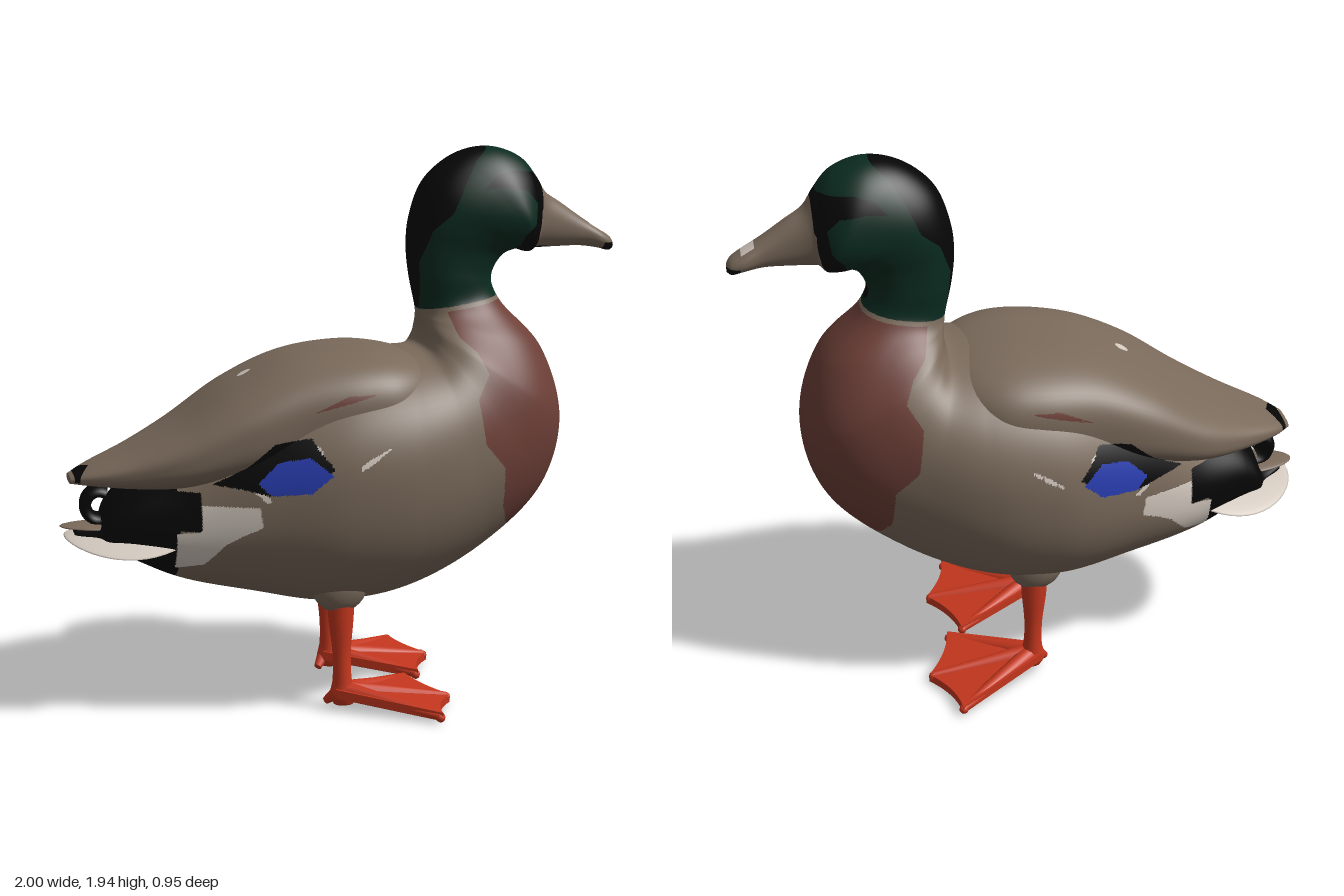
import * as THREE from 'three';

const mat = (name, color) => Object.assign(new THREE.MeshStandardMaterial({ color }), { name });
const BROWN = 0, MAROON = 1, GREEN = 2, BLACK = 3, WHITE = 4, BLUE = 5;

// Plumage patches drawn in the side plane (x, y)
const patch = {
  nape: [[.1, 1.36], [.275, 1.385], [.262, 1.55], [.3, 1.66], [.365, 1.72], [.41, 1.82], [.46, 1.9], [.55, 1.97], [.3, 2.05], [.1, 1.8]],
  face: [[.47, 1.8], [.52, 1.85], [.58, 1.865], [.68, 1.855], [.76, 1.83], [.75, 1.6], [.68, 1.55], [.61, 1.59], [.62, 1.64], [.66, 1.68], [.672, 1.75], [.63, 1.795], [.54, 1.81]],
  bill: [[.715, 1.83], [.71, 1.73], [.67, 1.66], [.665, 1.55], [1.1, 1.5], [1.1, 1.83]],
  breast: [[.35, 1.38], [.37, 1.3], [.42, 1.25], [.45, 1.18], [.4, 1.1], [.42, .95], [.5, .86], [.51, .72], [.545, .64], [.6, .6], [.9, .61], [.9, 1.5], [.5, 1.44]],
  speculum: [[-.37, .85], [-.3, .92], [-.2, .94], [-.13, .88], [-.2, .82], [-.33, .81]],
  wingBar: [[-.51, .84], [-.4, .9], [-.31, .98], [-.19, 1.0], [-.17, .96], [-.12, .9], [-.2, .85], [-.33, .81], [-.42, .83]],
  flank: [[-.63, .54], [-.54, .56], [-.47, .64], [-.42, .67], [-.355, .7], [-.365, .77], [-.55, .77], [-.55, .68], [-.63, .67]],
  streak: [[-.18, 1.08], [-.06, 1.135], [.05, 1.14], [-.06, 1.11]],
  fleck: [[-.1, .86], [-.01, .93], [.08, .975], [.0, .915]],
  edge: [[-.43, .86], [-.41, .86], [-.32, .79], [-.34, .785]],
};
function inside(poly, x, y) {
  let hit = false;
  for (let i = 0, j = poly.length - 1; i < poly.length; j = i++) {
    const [ax, ay] = poly[i], [bx, by] = poly[j];
    if (ay > y !== by > y && x < (bx - ax) * (y - ay) / (by - ay) + ax) hit = !hit;
  }
  return hit;
}

// Colour of the plumage at a point
function plumage(x, y, z) {
  const at = (key) => inside(patch[key], x, y);
  if (y > 1.365 + (x - .27) * .17) {
    if (at('bill')) {
      if (x > .955 && y < 1.6 || x < .75 && y < 1.593 || Math.abs(z) > .1) return BLACK;
      return x > .905 && x < .95 && Math.abs(z) < .035 && y > 1.63 ? WHITE : BROWN;
    }
    if (at('nape') || at('face')) return BLACK;
    if (x > .45 && Math.hypot(y - 1.48, z) < .037) return BLACK;
    return y > 1.38 + (x - .27) * .17 ? GREEN : BROWN;
  }
  if (at('breast')) return MAROON;
  if (Math.hypot(x + .35, z) < .022 && y > 1) return WHITE;
  if (Math.abs(z) > .15) {
    if (at('speculum')) return BLUE;
    if (at('wingBar')) return BLACK;
    if (at('fleck') || at('edge') || Math.hypot(x + .18, y - .955) < .02) return WHITE;
    if (at('streak')) return MAROON;
    if (at('flank')) return WHITE;
  }
  return x < -.62 && y < .82 || x < -.55 && y > .68 && y < .81 ? BLACK : BROWN;
}
const mantleColour = (x, y, z) => {
  if (x > -.55) return plumage(x, y, z);
  return y > .826 && x > -.95 && x < -.895 - .4 * Math.abs(z) ? BLACK : BROWN;
};

// Closed skin over rings [upper x, upper y, lower x, lower y, half width, narrowing towards the top]
function loft(rings, steps, sides, power, z0 = 0) {
  const curve = (f) => new THREE.CatmullRomCurve3(rings.map(f));
  const up = curve((r) => new THREE.Vector3(r[0], r[1], r[4]));
  const low = curve((r) => new THREE.Vector3(r[2], r[3], r[5] ?? 0));
  const pos = [], index = [];
  for (let i = 0; i <= steps; i++) {
    const a = up.getPoint(i / steps), b = low.getPoint(i / steps);
    for (let j = 0; j < sides; j++) {
      const t = j / sides * Math.PI * 2, c = Math.cos(t), s = Math.sin(t);
      const r = (Math.abs(c) ** power + Math.abs(s) ** power) ** (-1 / power), h = c * r / 2;
      pos.push((a.x + b.x) / 2 + h * (a.x - b.x), (a.y + b.y) / 2 + h * (a.y - b.y), z0 + s * r * a.z * (1 - 2 * h * b.z));
    }
  }
  for (let i = 0; i < steps; i++) for (let j = 0; j < sides; j++) {
    const k = (j + 1) % sides, p = i * sides;
    index.push(p + j, p + k, p + sides + j, p + k, p + sides + k, p + sides + j);
  }
  for (const end of [0, steps]) {
    const r = end ? rings[rings.length - 1] : rings[0], hub = pos.length / 3, p = end * sides;
    pos.push((r[0] + r[2]) / 2, (r[1] + r[3]) / 2, z0);
    for (let j = 0; j < sides; j++) {
      const k = (j + 1) % sides;
      if (end) index.push(hub, p + j, p + k); else index.push(hub, p + k, p + j);
    }
  }
  const g = new THREE.BufferGeometry();
  g.setAttribute('position', new THREE.Float32BufferAttribute(pos, 3));
  g.setIndex(index);
  g.computeVertexNormals();
  return g;
}

// One material group per colour, with finer triangles along colour borders
function paint(g, rule) {
  const { position, normal } = g.attributes, idx = g.index.array, bins = [[], [], [], [], [], []];
  const corner = (i) => ({
    p: new THREE.Vector3().fromBufferAttribute(position, i),
    n: new THREE.Vector3().fromBufferAttribute(normal, i),
  });
  const half = (a, b) => ({ p: a.p.clone().lerp(b.p, .5), n: a.n.clone().lerp(b.n, .5).normalize() });
  const colour = (p) => rule(p.x, p.y, p.z);
  const split = (a, b, c, depth) => {
    const own = colour(a.p.clone().add(b.p).add(c.p).divideScalar(3));
    if (depth && [a, b, c].some((v) => colour(v.p) !== own)) {
      const ab = half(a, b), bc = half(b, c), ca = half(c, a);
      for (const t of [[a, ab, ca], [ab, b, bc], [ca, bc, c], [ab, bc, ca]]) split(...t, depth - 1);
    } else bins[own].push(a, b, c);
  };
  for (let i = 0; i < idx.length; i += 3) split(corner(idx[i]), corner(idx[i + 1]), corner(idx[i + 2]), 2);
  const out = new THREE.BufferGeometry(), all = bins.flat();
  out.setAttribute('position', new THREE.Float32BufferAttribute(all.flatMap((v) => v.p.toArray()), 3));
  out.setAttribute('normal', new THREE.Float32BufferAttribute(all.flatMap((v) => v.n.toArray()), 3));
  let start = 0;
  bins.forEach((b, m) => { if (b.length) out.addGroup(start, b.length, m); start += b.length; });
  return out;
}

export function createModel() {
  const model = new THREE.Group();
  const brown = mat('feather brown', 0x7a6a5b), maroon = mat('breast maroon', 0x6d3f37);
  const green = mat('head green', 0x0a2b20), black = mat('black', 0x060606);
  const white = mat('pale feather', 0xd3c9bf), blue = mat('speculum blue', 0x273cae);
  const orange = mat('leg orange', 0xc5371e);
  const coat = [brown, maroon, green, black, white, blue];
  const add = (name, geometry, material, parent = model) => {
    const m = new THREE.Mesh(geometry, material);
    m.name = name;
    parent.add(m);
  };

  // Body, neck, head and bill as one skin from tail to bill tip
  const body = [
    [-.95, .65, -.95, .63, .04], [-.86, .67, -.88, .595, .11], [-.835, .74, -.85, .575, .155],
    [-.77, .81, -.79, .555, .19], [-.6, .9, -.6, .47, .27], [-.35, 1.1, -.35, .41, .37],
    [-.05, 1.225, -.08, .36, .45, -.04], [.18, 1.245, .2, .39, .44, -.08], [.27, 1.255, .5, .53, .385, -.13],
    [.285, 1.29, .72, .73, .338, -.12], [.285, 1.32, .79, .98, .3, -.05], [.28, 1.35, .72, 1.24, .212],
    [.275, 1.38, .57, 1.41, .14], [.25, 1.5, .54, 1.49, .133], [.24, 1.6, .58, 1.565, .14],
    [.25, 1.7, .63, 1.585, .157], [.3, 1.83, .66, 1.575, .174, .1], [.41, 1.92, .68, 1.575, .18, .18],
    [.53, 1.945, .685, 1.58, .176, .2], [.64, 1.91, .69, 1.585, .145, .2], [.7, 1.845, .695, 1.585, .106, .12],
    [.74, 1.785, .71, 1.585, .084], [.8, 1.745, .78, 1.587, .066], [.88, 1.69, .88, 1.588, .055],
    [.95, 1.645, .95, 1.578, .058], [.985, 1.622, .985, 1.57, .045], [1, 1.602, 1, 1.577, .02],
  ];
  add('bodyAndHead', paint(loft(body, 286, 96, 2.27), plumage), coat);

  // Folded wings and back
  const mantle = [
    [-.965, .838, -.965, .815, .06], [-.9, .868, -.9, .81, .125], [-.75, .93, -.75, .8, .22],
    [-.6, 1.01, -.6, .8, .295], [-.4, 1.145, -.4, .82, .342], [-.2, 1.235, -.2, .84, .36],
    [0, 1.265, 0, .85, .38], [.13, 1.259, .13, .86, .365], [.25, 1.225, .25, .9, .29], [.37, 1.11, .37, .97, .14],
  ];
  add('foldedWings', paint(loft(mantle, 120, 88, 2.8), mantleColour), coat);

  // Drooping tail fan with a brown centre
  const fan = (name, cx, y, rx, rz, tilt, material) => {
    const g = new THREE.SphereGeometry(1, 48, 16).scale(rx, .012, rz);
    const p = g.attributes.position;
    for (let i = 0; i < p.count; i++) p.setY(i, p.getY(i) + y - .75 * p.getZ(i) ** 2 + tilt * p.getX(i));
    g.translate(cx, 0, 0).computeVertexNormals();
    add(name, g, material);
  };
  fan('tailFan', -.735, .648, .25, .27, .1, white);
  fan('tailCentre', -.8, .66, .2, .085, 0, brown);

  // Curled tail feather
  const curl = new THREE.TorusGeometry(.045, .021, 10, 28, Math.PI * 1.2).rotateZ(Math.PI / 3);
  add('tailCurl', curl.scale(1, 1.1, 2.6).translate(-.865, .73, 0), black);

  // Tapered rod between two points
  const rod = (p, q, r1, r2) => {
    const a = new THREE.Vector3(...p), d = new THREE.Vector3(...q).sub(a);
    const g = new THREE.CylinderGeometry(r2, r1, d.length(), 12).translate(0, d.length() / 2, 0);
    g.applyQuaternion(new THREE.Quaternion().setFromUnitVectors(new THREE.Vector3(0, 1, 0), d.normalize()));
    return g.translate(a.x, a.y, a.z);
  };

  // Legs and webbed feet, the right one a little further forward
  for (const s of [1, -1]) {
    const leg = new THREE.Group();
    leg.name = s > 0 ? 'leftLeg' : 'rightLeg';
    leg.position.x = s > 0 ? -.05 : .008;
    model.add(leg);
    const z = .225 * s;
    add('thigh', new THREE.SphereGeometry(1, 24, 16).scale(.1, .1, .062).translate(-.01, .452, z), brown, leg);
    const shank = [
      [.045, .43, -.055, .43, .045], [.04, .33, -.05, .33, .04], [.03, .2, -.035, .2, .032],
      [.035, .1, -.035, .1, .036], [.05, .05, -.045, .05, .04], [.04, .02, -.03, .02, .028],
    ];
    add('shank', loft(shank, 24, 16, 2, z), orange, leg);

    const tips = [[.28, .025], [.37, .25], [.29, .46]];
    for (const [x, tz] of tips) {
      add('toe', rod([0, .068, z], [x, .026, tz * s], .034, .015), orange, leg);
      add('claw', new THREE.SphereGeometry(.017, 10, 8).translate(x, .022, tz * s), orange, leg);
    }
    add('hindToe', rod([-.02, .06, z], [-.05, .024, z * .85], .024, .014), orange, leg);

    // Web outline just outside the toes
    const web = new THREE.Shape();
    web.moveTo(-.03, z - .035 * s);
    web.lineTo(.285, .01 * s);
    web.quadraticCurveTo(.3, .14 * s, .385, .25 * s);
    web.quadraticCurveTo(.3, .36 * s, .295, .475 * s);
    web.lineTo(-.03, z + .035 * s);
    const lay = (g, y, slope) => {
      g.rotateX(Math.PI / 2);
      const p = g.attributes.position;
      for (let i = 0; i < p.count; i++) p.setY(i, p.getY(i) + y - slope * p.getX(i));
      g.computeVertexNormals();
      return g;
    };
    add('web', lay(new THREE.ExtrudeGeometry(web, { depth: .03, bevelEnabled: false, curveSegments: 10 }), .078, .12), orange, leg);
    add('sole', lay(new THREE.ShapeGeometry(web, 10), .031, .07), maroon, leg);
  }
  return model;
}
